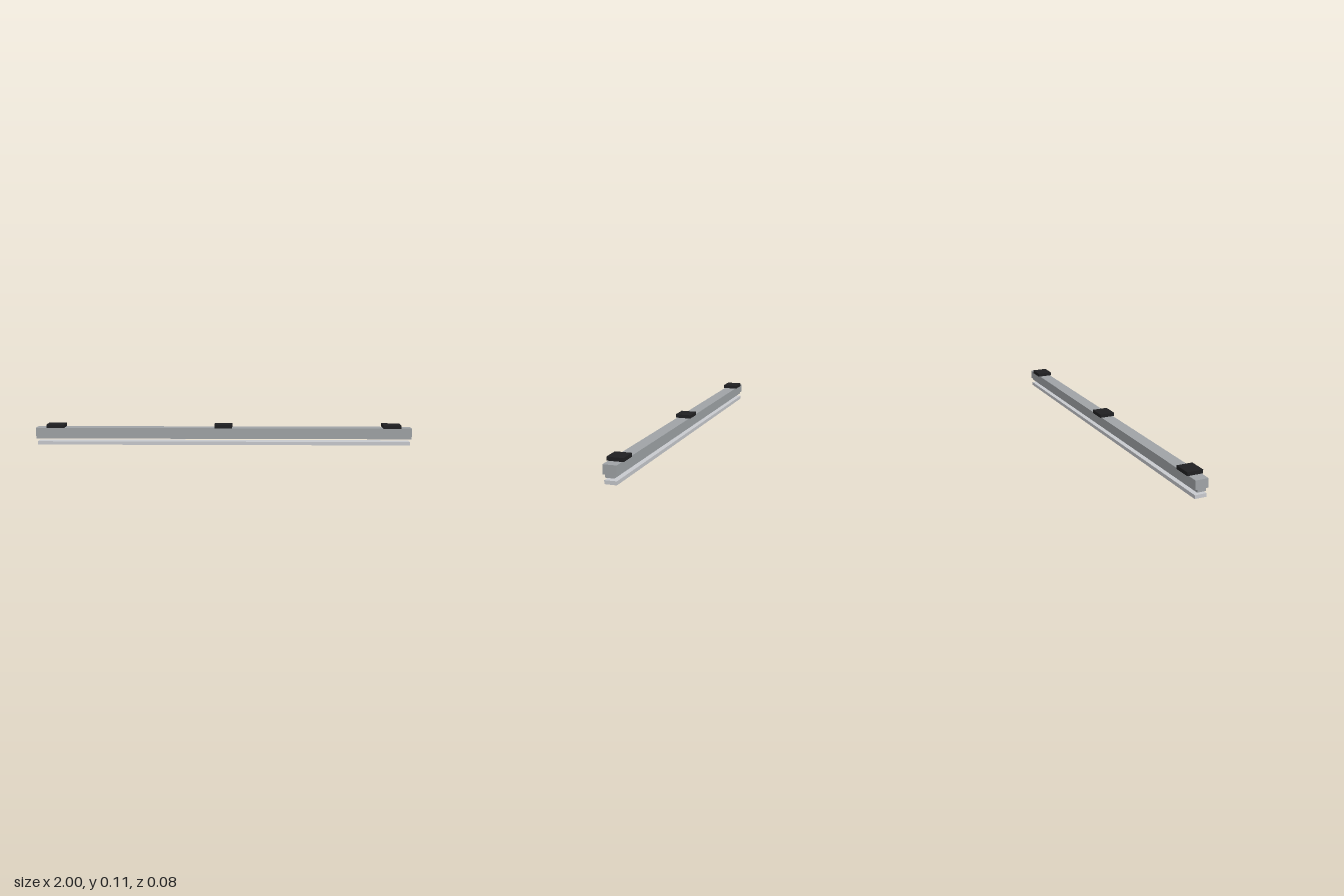
import * as THREE from 'three';

const mat = (color) => new THREE.MeshStandardMaterial({ color, flatShading: true });

export function createModel() {
  const model = new THREE.Group();
  model.name = 'linearRail';

  const add = (name, geometry, material, x = 0, y = 0, z = 0) => {
    const mesh = new THREE.Mesh(geometry, material);
    mesh.name = name;
    mesh.position.set(x, y, z);
    model.add(mesh);
  };

  // Housing: stepped T-shaped section swept along x
  const top = 0.091, step = 0.046, bottom = 0.032, wide = 0.033, narrow = 0.0225;
  const half = [[narrow, bottom], [narrow, step], [wide, step], [wide, top]];
  const mirrored = half.map(([z, y]) => [-z, y]).reverse();
  const section = new THREE.Shape([...half, ...mirrored].map(([z, y]) => new THREE.Vector2(z, y)));
  const housing = new THREE.ExtrudeGeometry(section, { depth: 2, bevelEnabled: false });
  housing.translate(0, 0, -1).rotateY(Math.PI / 2);
  add('housing', housing, mat(0x9fa3a6));

  // Separate flat strip below the housing
  add('lowerStrip', new THREE.BoxGeometry(1.985, 0.018, 0.059), mat(0xc8cace), 0, 0.009);

  // Mounting pads on top
  const padMaterial = mat(0x202022);
  const pad = new THREE.BoxGeometry(0.094, 0.018, 0.081);
  for (const x of [-0.895, 0, 0.895]) add('mountingPad', pad, padMaterial, x, 0.1);

  return model;
}
